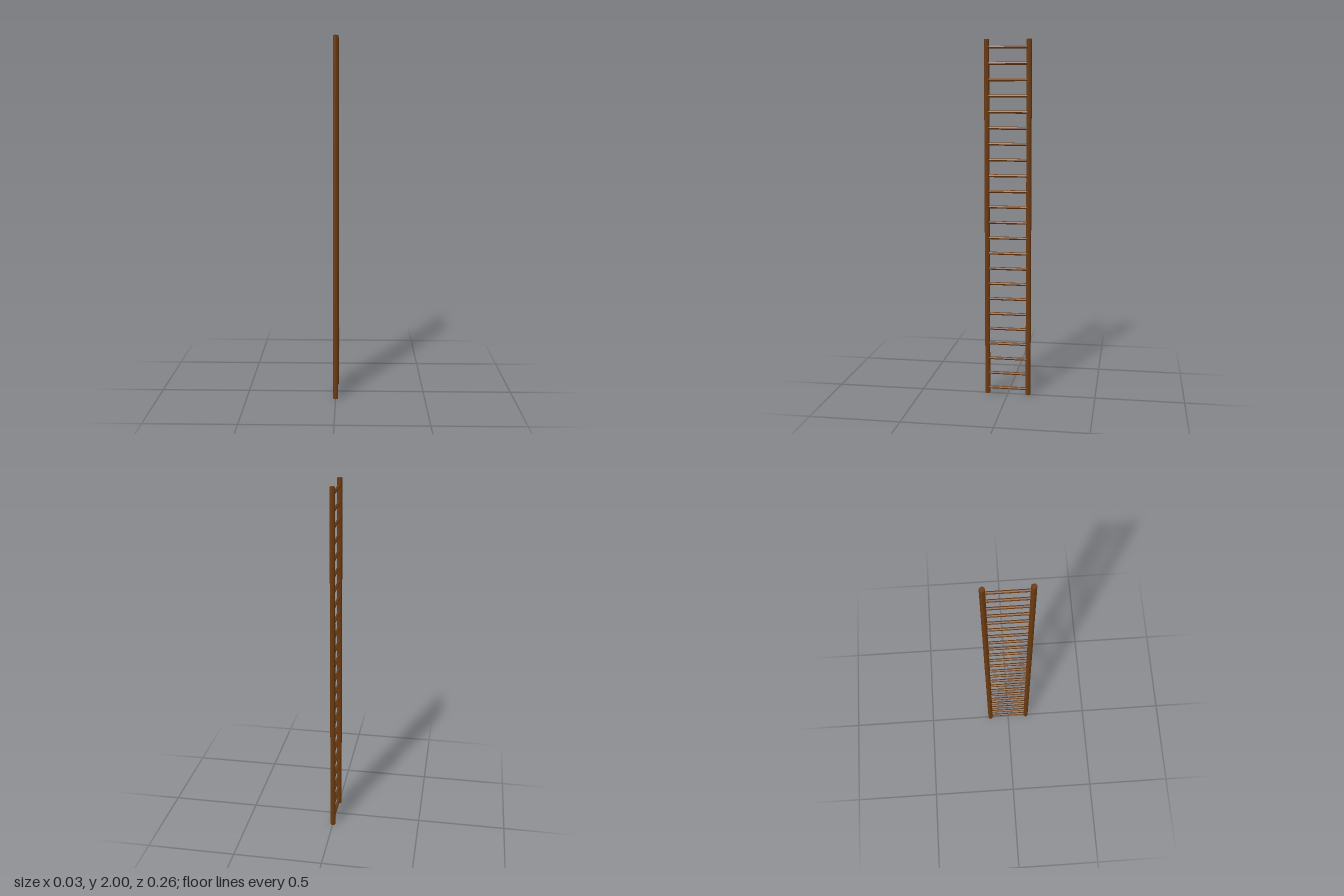
import * as THREE from 'three';

export function createModel() {
  const ladder = new THREE.Group();
  ladder.name = 'ladder';
  const wood = new THREE.MeshStandardMaterial({ color: 0x6b3a10, flatShading: true });
  const railZ = 0.117;

  // Two upright eight-sided poles
  const railGeometry = new THREE.CylinderGeometry(0.0145, 0.0145, 2, 8);
  for (const side of [1, -1]) {
    const rail = new THREE.Mesh(railGeometry, wood);
    rail.name = side > 0 ? 'frontRail' : 'backRail';
    rail.position.set(0, 1, side * railZ);
    ladder.add(rail);
  }

  // Evenly spaced rungs, their ends buried in the poles
  const rungCount = 23;
  const rungGeometry = new THREE.CylinderGeometry(0.0085, 0.0085, railZ * 2, 8);
  rungGeometry.rotateX(Math.PI / 2);
  for (let i = 0; i < rungCount; i++) {
    const rung = new THREE.Mesh(rungGeometry, wood);
    rung.name = `rung${i + 1}`;
    rung.position.y = 0.034 + i * 0.0875;
    ladder.add(rung);
  }

  return ladder;
}
